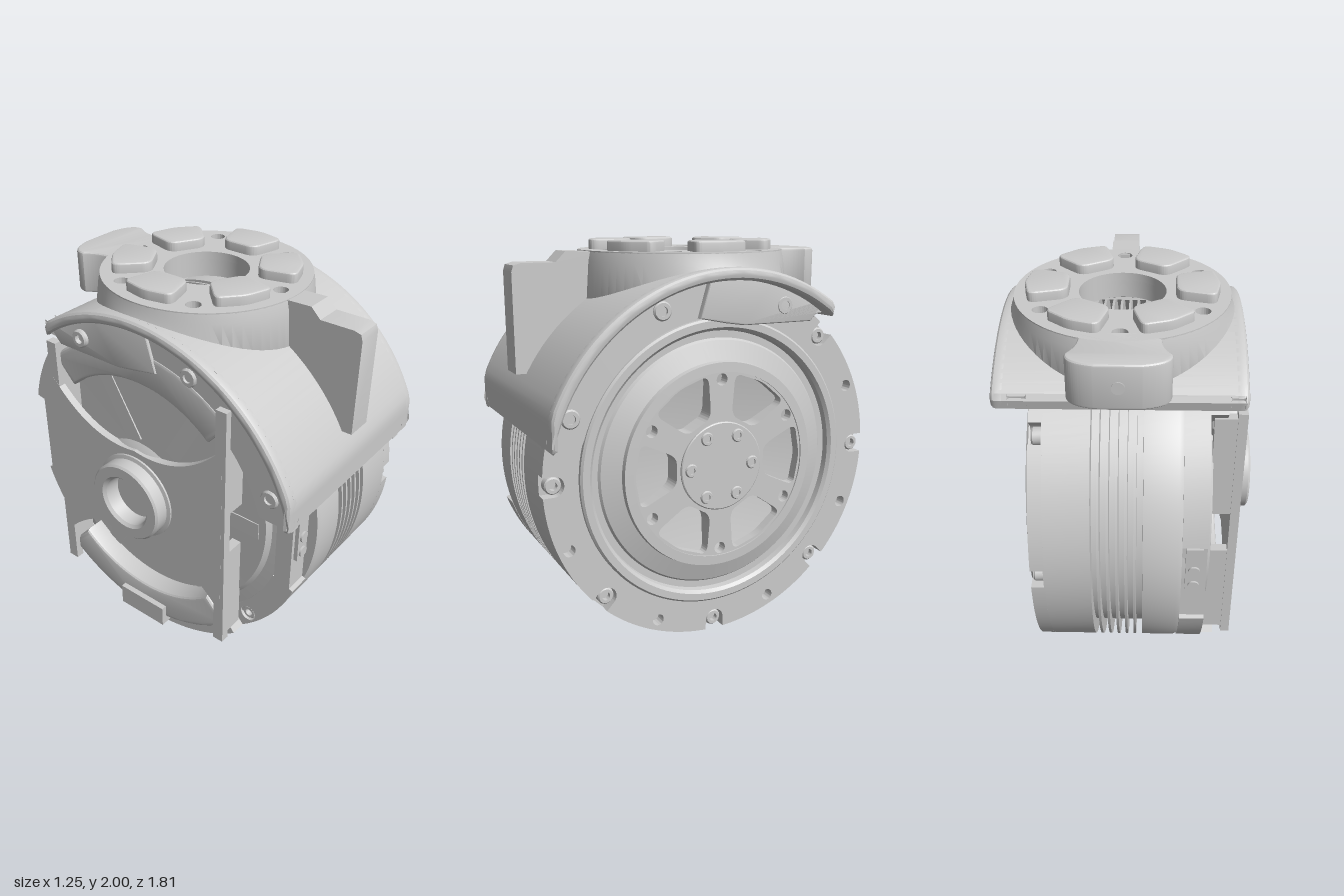
import * as THREE from 'three';
import { toCreasedNormals } from 'three/addons/utils/BufferGeometryUtils.js';

const CY = 0.91; // axle height
const TX = 0.04; // centre of the top mount in x
const rad = THREE.MathUtils.degToRad;
const V = (x, y) => new THREE.Vector2(x, y);
const mat = new THREE.MeshStandardMaterial({ color: 0xcccccc, side: THREE.DoubleSide });

export function createModel() {
  const root = new THREE.Group();
  const add = (name, geo) => {
    const m = new THREE.Mesh(toCreasedNormals(geo, 0.5), mat);
    m.name = name;
    root.add(m);
    return m;
  };
  const polar = (r, a, cy = CY) => V(r * Math.cos(rad(a)), cy + r * Math.sin(rad(a)));
  const circle = (x, y, r) => new THREE.Path().absarc(x, y, r, 0, Math.PI * 2, true);
  const disc = (r, cy = CY, cx = 0) => new THREE.Shape().absarc(cx, cy, r, 0, Math.PI * 2, false);

  // Side profiles use (-z, y) and run along x; plan profiles use (x, -z) and run along y
  const extrude = (shape, a, b, bevel) => new THREE.ExtrudeGeometry(shape, {
    depth: b - a - 2 * bevel, curveSegments: 48, bevelEnabled: bevel > 0,
    bevelSize: bevel, bevelThickness: bevel, bevelOffset: -bevel, bevelSegments: 3,
  }).translate(0, 0, a + bevel);
  const alongX = (shape, x0, x1, bevel = 0) => extrude(shape, x0, x1, bevel).rotateY(Math.PI / 2);
  const alongY = (shape, y0, y1, bevel = 0) => extrude(shape, y0, y1, bevel).rotateX(-Math.PI / 2);
  const latheX = (pts, seg = 96) => new THREE.LatheGeometry(pts.map(p => V(...p)), seg).rotateZ(-Math.PI / 2);

  // Ring sector between two angles, cut flat at the front, back and bottom
  const sector = (r0, r1, a0, a1, zBack = 1, yMin = 0) => {
    const pts = [], n = Math.ceil(Math.abs(a1 - a0) / 3);
    for (let i = 0; i <= n; i++) pts.push(polar(r1, a0 + (a1 - a0) * i / n));
    for (let i = n; i >= 0; i--) pts.push(polar(r0, a0 + (a1 - a0) * i / n));
    pts.forEach(p => p.set(THREE.MathUtils.clamp(p.x, -0.905, zBack), Math.max(p.y, yMin)));
    return new THREE.Shape(pts);
  };
  // Rounded wedge pointing outward at angle a
  const wedge = (Cls, r0, r1, h0, h1, a, cx, cy) => {
    const c = [[r0, -h0], [r1 - 0.03, -h1], [r1, 0], [r1 - 0.03, h1], [r0, h0]].map(([x, y]) =>
      V(x, y).rotateAround(V(0, 0), rad(a)).add(V(cx, cy)));
    const s = new Cls();
    c.forEach((p, i) => {
      const a1 = p.clone().lerp(c[(i + 4) % 5], 0.25), b1 = p.clone().lerp(c[(i + 1) % 5], 0.25);
      if (i === 0) s.moveTo(a1.x, a1.y); else s.lineTo(a1.x, a1.y);
      s.quadraticCurveTo(p.x, p.y, b1.x, b1.y);
    });
    s.closePath();
    return s;
  };
  // Socket-head bolt along x
  const bolt = (name, x, r, a, size = 0.042, dir = 1) => {
    const p = polar(r, a);
    const m = add(name, latheX([[size, -0.05], [size, 0], [size * 0.85, 0.008], [size * 0.5, 0.008],
      [size * 0.5, -0.02], [0, -0.02]], 18));
    m.position.set(x, p.y, -p.x);
    if (dir < 0) m.rotation.y = Math.PI;
  };

  // Drum with cooling fins in the middle
  const fins = [];
  for (const x of [-0.033, 0.008, 0.05, 0.092, 0.135])
    fins.push([0.83, x - 0.007], [0.905, x - 0.006], [0.905, x + 0.006], [0.83, x + 0.007]);
  add('drum', latheX([[0, -0.39], [0.7, -0.395], [0.72, -0.37], [0.83, -0.36], [0.84, -0.25], [0.895, -0.25], [0.905, -0.23],
    [0.905, -0.07], [0.83, -0.069], ...fins, [0.83, 0.169], [0.905, 0.17], [0.905, 0.39], [0.73, 0.39],
    [0.73, 0.47], [0.72, 0.48], [0.685, 0.48], [0.67, 0.465], [0.665, 0.435], [0.63, 0.435], [0.62, 0.448],
    [0.525, 0.48], [0.52, 0.503], [0.472, 0.505], [0.47, 0.45], [0.24, 0.4], [0, 0.4]], 128)).position.y = CY;

  // Outer flange: bolt seats open to the rim, pin holes between them
  const flange = new THREE.Shape();
  const gap = 3.2;
  for (let a = 0; a < 360; a += 45) {
    const b = a + 45, p = polar(0.85, b), q = polar(0.85, a + 22.5);
    flange.absarc(0, CY, 0.905, rad(a + gap), rad(b - gap), false);
    flange.absarc(p.x, p.y, 0.05, rad(b - 90), rad(b - 270), true);
    flange.holes.push(circle(q.x, q.y, 0.03));
    bolt('flangeBolt', 0.43, 0.85, a);
  }
  flange.closePath();
  flange.holes.push(circle(0, CY, 0.725));
  add('outerFlange', alongX(flange, 0.385, 0.45));

  // Spoked face with six pockets
  const face = disc(0.475);
  for (let i = 0; i < 6; i++) {
    face.holes.push(wedge(THREE.Path, 0.245, 0.465, 0.075, 0.165, i * 60, 0, CY));
    const p = polar(0.435, i * 60 + 30);
    face.holes.push(circle(p.x, p.y, 0.03));
    bolt('hubBolt', 0.512, 0.172, i * 60, 0.034);
  }
  add('spokedFace', alongX(face, 0.385, 0.498));
  add('hubCap', latheX([[0.225, 0.45], [0.225, 0.506], [0.22, 0.51], [0, 0.51]], 64)).position.y = CY;

  // Inner flange, open at front and back for the terminals
  for (const [a0, a1] of [[12, 168], [199, 341]]) {
    const s = sector(0.78, 0.905, a0, a1);
    for (let a = 45; a < 360; a += 90) if (a > a0 && a < a1) {
      const p = polar(0.85, a);
      s.holes.push(circle(p.x, p.y, 0.045));
      bolt('innerFlangeBolt', -0.355, 0.85, a, 0.04, -1);
    }
    add('innerFlange', alongX(s, -0.37, -0.25));
  }
  // Raised top and bottom of the inner flange with the carrier ring
  for (const mid of [90, 270]) {
    add('flangeStep', alongX(sector(0.72, 0.905, mid - 39, mid + 39), -0.45, -0.36));
    add('carrierRing', alongX(sector(0.64, 0.82, mid - 42, mid + 42), -0.51, -0.38, 0.02));
    bolt('carrierBolt', -0.455, 0.865, mid, 0.036, -1);
  }
  // Ribs on the inner face
  for (let i = 0; i < 6; i++) {
    const m = add('innerRib', new THREE.BoxGeometry(0.03, 0.42, 0.09).translate(-0.385, 0.45, 0));
    m.position.y = CY;
    m.rotation.x = rad(i * 60 + 30);
  }

  // Carrier: hub boss, webs, upright bars and foot
  add('axleBoss', latheX([[0, -0.51], [0.125, -0.51], [0.135, -0.615], [0.15, -0.63], [0.205, -0.63], [0.215, -0.62],
    [0.215, -0.555], [0.235, -0.55], [0.235, -0.535], [0.27, -0.52], [0.3, -0.5], [0, -0.5]], 64)).position.y = CY;
  for (const s of [-1, 1]) {
    add('uprightBar', new THREE.BoxGeometry(0.045, 1.4, 0.06)).position.set(-0.517, CY, 0.53 * s);
    for (const [y0, y1] of [[0.25, 0.79], [1.03, 1.58]])
      add('barFlange', new THREE.BoxGeometry(0.13, y1 - y0, 0.05)).position.set(-0.455, (y0 + y1) / 2, 0.53 * s);
    const web = new THREE.Shape();
    web.moveTo(0, CY + 0.27);
    web.quadraticCurveTo(0.3 * s, CY + 0.22, 0.54 * s, CY + 0.5);
    web.lineTo(0.54 * s, CY - 0.5);
    web.quadraticCurveTo(0.3 * s, CY - 0.22, 0, CY - 0.27);
    web.closePath();
    add('carrierWeb', alongX(web, -0.54, -0.5));
  }
  add('foot', new THREE.BoxGeometry(0.09, 0.12, 0.3)).position.set(-0.495, 0.13, 0);

  // Terminal blocks with screws
  for (const s of [-1, 1]) {
    add('terminalBlock', new THREE.BoxGeometry(0.12, 0.48, 0.09)).position.set(-0.31, 0.86, 0.79 * s);
    add('terminalPlate', new THREE.BoxGeometry(0.08, 0.26, 0.03)).position.set(-0.31, 0.93, 0.84 * s);
    for (const y of [0.84, 0.93])
      add('terminalScrew', new THREE.CylinderGeometry(0.028, 0.028, 0.03, 18).rotateX(Math.PI / 2))
        .position.set(-0.31, y, 0.85 * s);
  }

  // Cover shell, split around the opening under the top mount, with rounded side rims
  const shell = (name, a0, a1, x0, x1, bevel) =>
    add(name, alongX(sector(0.915, 0.975, a0, a1, 0.575, 1.105), x0, x1, bevel));
  shell('coverShell', 52, 76, -0.5, 0.58);
  shell('coverShell', 104, 168, -0.5, 0.58);
  shell('coverShell', 76, 104, -0.5, -0.18);
  shell('coverShell', 76, 104, 0.26, 0.58);
  shell('coverRim', 52, 168, -0.54, -0.46, 0.025);
  shell('coverRim', 52, 168, 0.54, 0.62, 0.025);
  // Cover side walls and the lower rear lugs
  for (const s of [-1, 1]) {
    const [x0, x1] = s > 0 ? [0.455, 0.505] : [-0.505, -0.455];
    add('coverWall', alongX(sector(0.75, 0.93, 88, 169, 1, 1.105), x0, x1));
    add('coverLug', alongX(new THREE.Shape([V(-0.14, 1.648), V(0, 1.62), V(0.1, 1.605), V(0.48, 1.605), V(0.57, 1.7),
      polar(0.94, 53), polar(0.94, 62), polar(0.94, 75), polar(0.94, 95)]), s > 0 ? x0 : -0.52, s > 0 ? 0.54 : x1, 0.01));
    for (const a of [67.5, 112.5, 157.5])
      bolt('coverBolt', s * (a < 90 ? 0.535 : 0.51), 0.845, a, 0.046, s);
  }

  // Round top mount; the foot of its skirt follows the curve of the shell
  const skirt = new THREE.LatheGeometry([V(0.21, 1.91), V(0.21, 1.82), V(0.3, 1.82), V(0.45, 1.82), V(0.535, 1.84),
    V(0.545, 1.87), V(0.53, 1.9), V(0.52, 1.945)], 72);
  const sp = skirt.attributes.position;
  for (let i = 0; i < sp.count; i++) {
    const drop = 0.95 - Math.sqrt(0.95 ** 2 - sp.getZ(i) ** 2);
    if (sp.getY(i) < 1.88 && Math.hypot(sp.getX(i), sp.getZ(i)) > 0.25) sp.setY(i, sp.getY(i) - drop);
  }
  skirt.computeVertexNormals();
  add('mountSkirt', skirt).position.x = TX;
  const top = disc(0.52, 0, TX);
  top.holes.push(circle(TX, 0, 0.21));
  for (let i = 0; i < 6; i++) {
    const p = polar(0.433, i * 60 + 30, 0);
    top.holes.push(circle(p.x + TX, p.y, 0.037));
    add('mountPad', alongY(wedge(THREE.Shape, 0.255, 0.47, 0.095, 0.145, i * 60, TX, 0), 1.9, 2, 0.012));
  }
  add('mountPlate', alongY(top, 1.9, 1.95));

  // Front rib and rear tab
  add('frontRib', alongX(new THREE.Shape([V(-0.46, 1.72), V(-0.84, 1.38), V(-0.905, 1.38), V(-0.905, 1.86), V(-0.895, 1.89),
    V(-0.86, 1.9), V(-0.69, 1.9), V(-0.64, 1.95), V(-0.46, 1.945)]), -0.03, 0.11));
  const tab = new THREE.Shape();
  tab.moveTo(-0.15, 0.44);
  tab.quadraticCurveTo(-0.13, 0.54, -0.19, 0.62);
  tab.quadraticCurveTo(-0.2, 0.7, -0.06, 0.725);
  tab.lineTo(0.14, 0.725);
  tab.quadraticCurveTo(0.28, 0.7, 0.27, 0.62);
  tab.quadraticCurveTo(0.21, 0.54, 0.23, 0.44);
  add('rearTab', alongY(tab, 1.73, 1.95, 0.015));
  add('rearTabPin', new THREE.CylinderGeometry(0.03, 0.03, 0.02, 18).rotateX(Math.PI / 2)).position.set(TX, 1.84, -0.72);
  return root;
}
